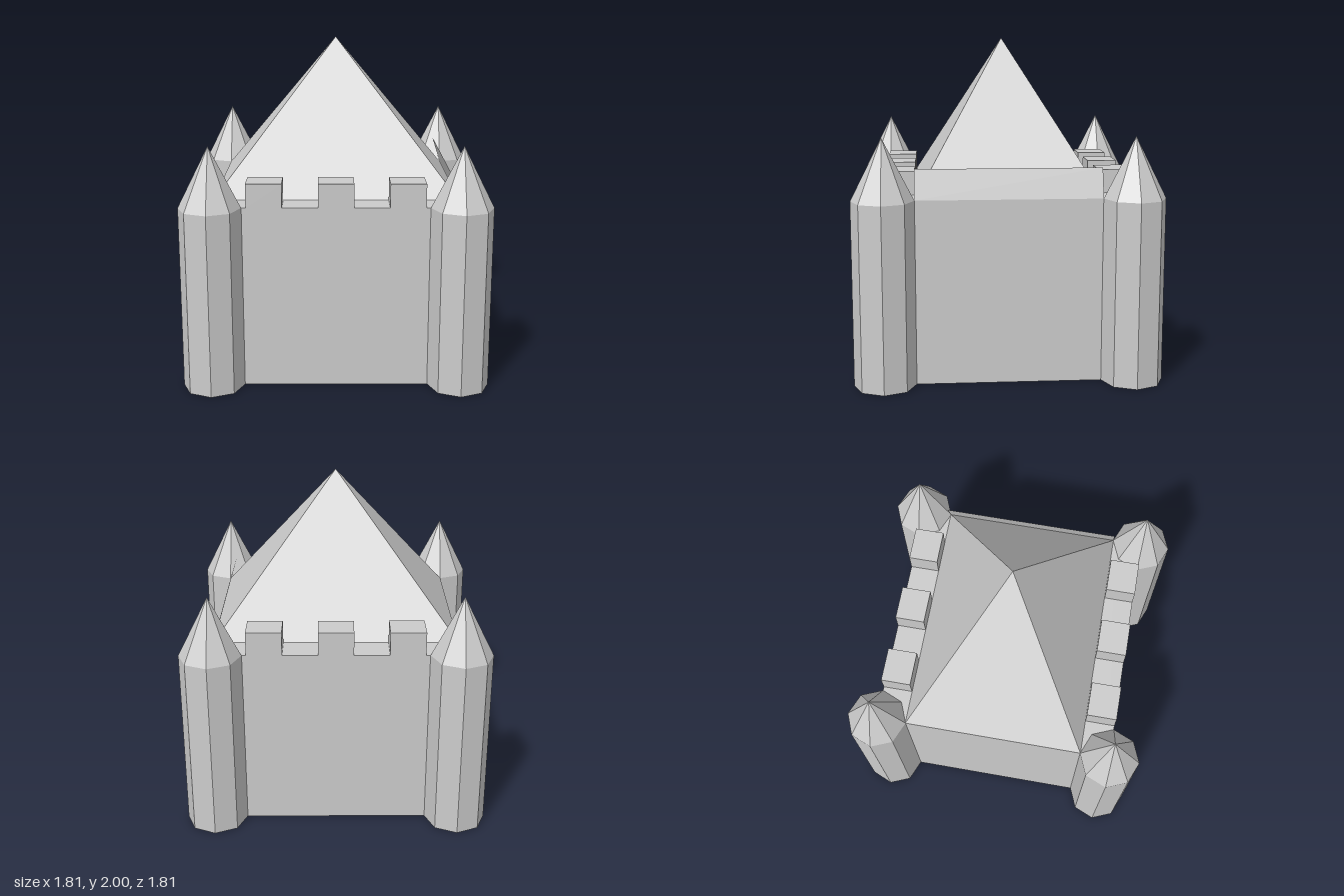
import * as THREE from 'three';

const HALF = 0.725;    // wall distance from the centre, also tower centres
const INNER = 0.545;   // inner edge of the wall walks
const WALL = 1.09;     // wall height
const TOWER_R = 0.182;

export function createModel() {
  const group = new THREE.Group();
  group.name = 'castle';
  const solid = new THREE.MeshStandardMaterial({ color: 0xcccccc, flatShading: true });
  const shell = new THREE.MeshStandardMaterial({ color: 0xcccccc, flatShading: true, side: THREE.DoubleSide });

  const add = (name, geometry, material, x = 0, y = 0, z = 0) => {
    const mesh = new THREE.Mesh(geometry, material);
    mesh.name = name;
    mesh.position.set(x, y, z);
    group.add(mesh);
    return mesh;
  };

  // Flat face from three or four corners, counter-clockwise seen from outside
  const face = (...corners) => {
    const g = new THREE.BufferGeometry();
    g.setAttribute('position', new THREE.Float32BufferAttribute(corners.flat(), 3));
    g.setIndex(corners.length === 4 ? [0, 1, 2, 0, 2, 3] : [0, 1, 2]);
    g.computeVertexNormals();
    return g;
  };

  // Four thin outer walls, open underneath
  ['front', 'left', 'back', 'right'].forEach((side, i) => {
    const wall = face([-HALF, 0, HALF], [HALF, 0, HALF], [HALF, WALL, HALF], [-HALF, WALL, HALF]);
    add(side + 'Wall', wall.rotateY(i * Math.PI / 2), shell);
  });

  // Wall walks with three merlons each, front and back
  for (const [side, s] of [['front', 1], ['back', -1]]) {
    const depth = HALF - INNER;
    const z = s * (HALF + INNER) / 2;
    const walk = new THREE.PlaneGeometry(2 * HALF, depth).rotateX(-Math.PI / 2);
    add(side + 'WallWalk', walk, shell, 0, WALL, z);
    for (const x of [-0.415, 0, 0.415]) {
      add(side + 'Merlon', new THREE.BoxGeometry(0.208, 0.14, depth), solid, x, WALL + 0.07, z);
    }
  }

  // Pyramid roof between the wall walks
  const base = [[-HALF, WALL, INNER], [HALF, WALL, INNER], [HALF, WALL, -INNER], [-HALF, WALL, -INNER]];
  base.forEach((corner, i) => {
    add('roofSlope', face(corner, base[(i + 1) % 4], [0, 2, 0]), shell);
  });

  // Thin leaning parapet on the +x wall
  add('sideParapet', face(
    [HALF, WALL, INNER], [HALF, WALL, -INNER], [0.67, 1.263, -INNER], [0.67, 1.263, INNER],
  ), shell);

  // Octagonal corner towers with pointed roofs
  for (const x of [-HALF, HALF]) {
    for (const z of [-HALF, HALF]) {
      add('tower', new THREE.CylinderGeometry(TOWER_R, TOWER_R, WALL, 8), solid, x, WALL / 2, z);
      add('towerRoof', new THREE.ConeGeometry(TOWER_R, 0.36, 8, 1, true), solid, x, WALL + 0.18, z);
    }
  }
  return group;
}
